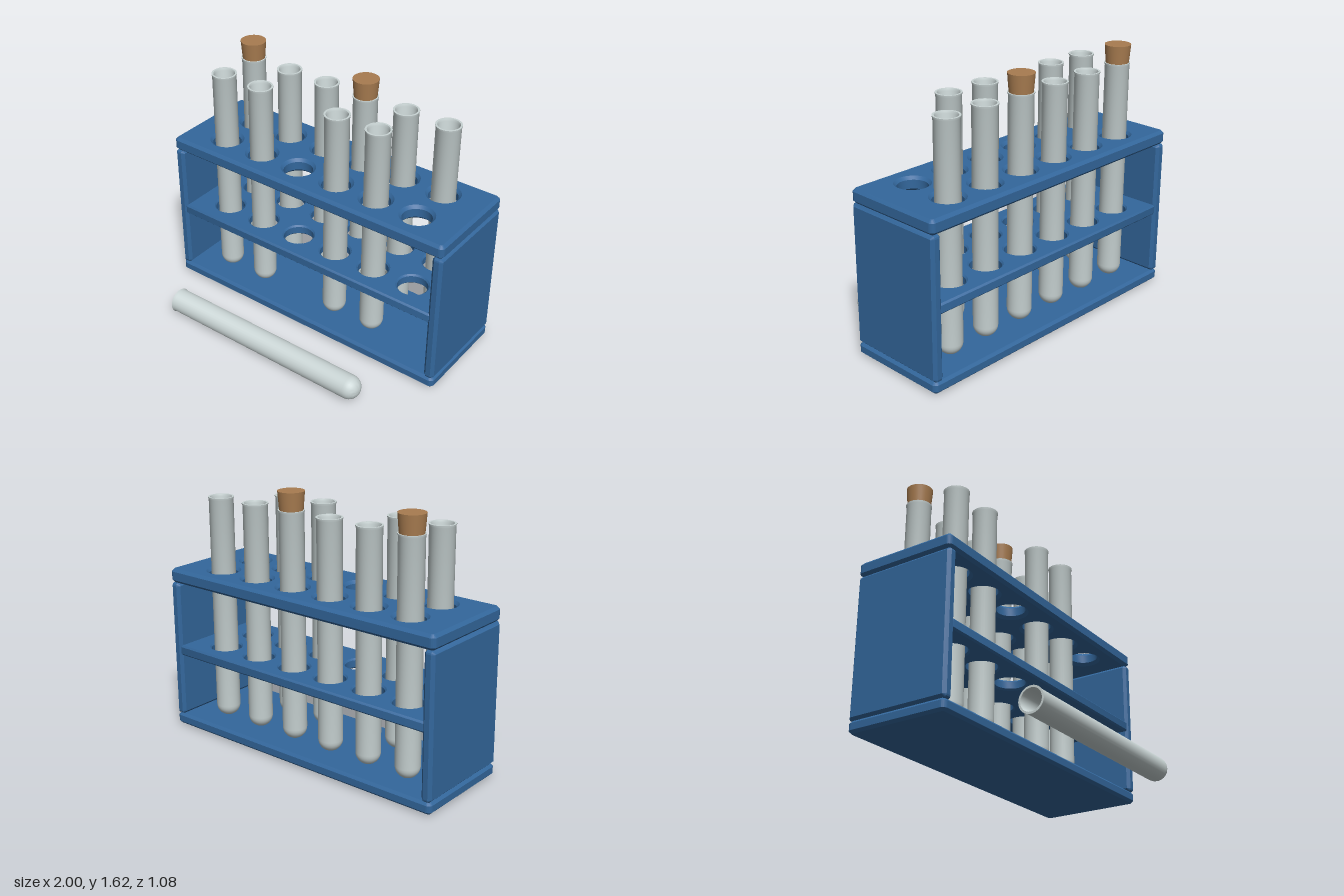
import * as THREE from 'three';
import { toCreasedNormals } from 'three/addons/utils/BufferGeometryUtils.js';

const material = (name, color, side = THREE.FrontSide) => {
  const m = new THREE.MeshStandardMaterial({ color, side });
  m.name = name;
  return m;
};

const COLUMNS = [-0.715, -0.43, -0.145, 0.14, 0.427, 0.712];
const ROWS = { front: -0.07, back: -0.355 };
const RACK_Z = -0.21;
const DEPTH = 0.66;

// Chamfered board centred on the origin: w by h in XY, t thick along z
function board(w, h, t, chamfer, corner, holes = []) {
  const x = w / 2, y = h / 2, r = corner;
  const s = new THREE.Shape();
  s.absarc(x - r, y - r, r, 0, Math.PI / 2);
  s.absarc(-x + r, y - r, r, Math.PI / 2, Math.PI);
  s.absarc(-x + r, -y + r, r, Math.PI, Math.PI * 1.5);
  s.absarc(x - r, -y + r, r, Math.PI * 1.5, Math.PI * 2);
  for (const [hx, hy, hr] of holes) {
    const hole = new THREE.Path();
    hole.absarc(hx, hy, hr, 0, Math.PI * 2, true);
    s.holes.push(hole);
  }
  const g = new THREE.ExtrudeGeometry(s, {
    depth: t - 2 * chamfer, bevelEnabled: true, bevelSegments: 1,
    bevelThickness: chamfer, bevelSize: chamfer, bevelOffset: -chamfer, curveSegments: 16,
  });
  g.translate(0, 0, chamfer - t / 2);
  return toCreasedNormals(g, 0.5);
}

// Points of a round bottom of radius r whose centre is at height cy
function roundBottom(r, cy, steps = 8) {
  return Array.from({ length: steps + 1 }, (_, i) => {
    const a = (i / steps) * Math.PI / 2;
    return new THREE.Vector2(r * Math.sin(a), cy - r * Math.cos(a));
  });
}

const TUBE_R = 0.075, INNER_R = 0.062, TUBE_H = 1.428;

// Open glass tube with a thin flared lip, standing on y = 0
function tubeGeometry() {
  const p = [
    ...roundBottom(TUBE_R, TUBE_R),
    new THREE.Vector2(TUBE_R, TUBE_H - 0.014),
    new THREE.Vector2(0.079, TUBE_H - 0.005),
    new THREE.Vector2(0.079, TUBE_H),
    new THREE.Vector2(0.067, TUBE_H),
    new THREE.Vector2(INNER_R, TUBE_H - 0.014),
    ...roundBottom(INNER_R, TUBE_R).reverse(),
  ];
  return toCreasedNormals(new THREE.LatheGeometry(p, 32), 0.6);
}

// Liquid with a flat surface filling the lower part of a tube
function liquidGeometry() {
  const r = INNER_R - 0.001, top = 0.5;
  const p = [...roundBottom(r, TUBE_R), new THREE.Vector2(r, top), new THREE.Vector2(0, top)];
  return toCreasedNormals(new THREE.LatheGeometry(p, 32), 0.6);
}

export function createModel() {
  const blue = material('rack blue', 0x33679c);
  const glass = material('glass grey', 0xc8d3d3);
  const tan = material('cork tan', 0xa87c50);
  const purple = material('liquid purple', 0x8046b0);

  const model = new THREE.Group();
  model.name = 'testTubeRack';
  const add = (parent, name, geo, mat, x = 0, y = 0, z = 0) => {
    const mesh = new THREE.Mesh(geo, mat);
    mesh.name = name;
    mesh.position.set(x, y, z);
    parent.add(mesh);
    return mesh;
  };

  // Rack: base, pierced shelf and top, two end panels
  const rack = new THREE.Group();
  rack.name = 'rack';
  model.add(rack);
  const holes = (r) => COLUMNS.flatMap((x) => Object.values(ROWS).map((z) => [x, RACK_Z - z, r]));
  const flat = (g) => g.rotateX(-Math.PI / 2);
  add(rack, 'base', flat(board(2, DEPTH, 0.073, 0.016, 0.03)), blue, 0, 0.0465, RACK_Z);
  add(rack, 'middleShelf', flat(board(1.89, DEPTH - 0.01, 0.065, 0.01, 0.012, holes(0.094))), blue, 0, 0.52, RACK_Z);
  add(rack, 'topBoard', flat(board(2, DEPTH, 0.09, 0.018, 0.03, holes(0.09))), blue, 0, 1.007, RACK_Z);
  for (const [name, side] of [['leftPanel', 1], ['rightPanel', -1]]) {
    const g = board(DEPTH, 0.88, 0.068, 0.018, 0.02).rotateY(Math.PI / 2);
    add(rack, name, g, blue, side * 0.966, 0.522, RACK_Z);
  }

  // Tubes: what each slot holds, from -x to +x
  const tubeGeo = tubeGeometry();
  const liquidGeo = liquidGeometry();
  const corkGeo = new THREE.CylinderGeometry(0.08, 0.066, 0.17, 32);
  const liquids = { tan, purple, blue };
  const contents = {
    front: ['tan', 'purple', null, 'tan', 'blue', null],
    back: ['cork', 'blue', 'tan', 'cork', 'purple', 'empty'],
  };
  for (const row of ['front', 'back']) {
    contents[row].forEach((content, i) => {
      if (!content) return;
      const tube = new THREE.Group();
      tube.name = `${row}Tube${i + 1}`;
      tube.position.set(COLUMNS[i], 0.088, ROWS[row]);
      model.add(tube);
      add(tube, 'glassTube', tubeGeo, glass);
      if (content === 'cork') add(tube, 'cork', corkGeo, tan, 0, 1.455, 0);
      else if (liquids[content]) add(tube, 'liquid', liquidGeo, liquids[content]);
    });
  }

  // Loose tube lying in front of the rack, mouth towards -x
  const loose = add(model, 'looseTube', tubeGeo, glass, 0.71, 0.082, 0.46);
  loose.rotation.z = Math.PI / 2;

  return model;
}
